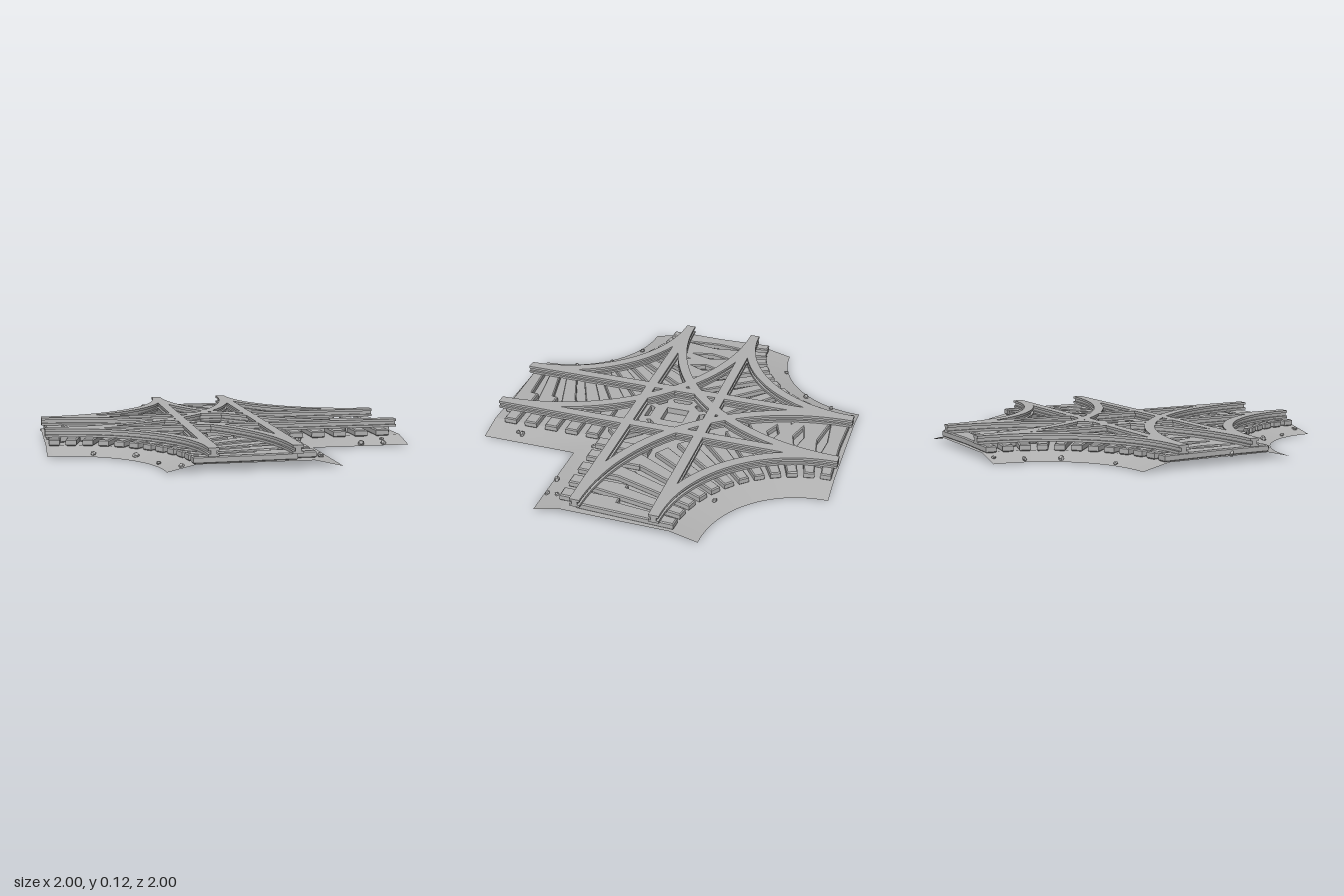
import * as THREE from 'three';
import { toCreasedNormals } from 'three/addons/utils/BufferGeometryUtils.js';

const GAUGE = 0.215, BED = 0.035, TIE_TOP = 0.07;
// Corners with curved track: sign of the corner and start angle of its sweep
const CURVES = [[-1, -1, 0], [1, -1, 1.5 * Math.PI], [-1, 1, 0.5 * Math.PI]];

// I-shaped rail section, counter-clockwise, offset sideways by r
const railProfile = (r) => [
  [-0.028, 0.07], [0.028, 0.07], [0.028, 0.083], [0.015, 0.083], [0.015, 0.101], [0.028, 0.101],
  [0.028, 0.115], [-0.028, 0.115], [-0.028, 0.101], [-0.015, 0.101], [-0.015, 0.083],
  [-0.028, 0.083], [-0.028, 0.07],
].map(([x, y]) => new THREE.Vector2(x + r, y));

// Flat slab from [x, z] points between two heights
function slab(points, y0, y1, bevel = 0, holes = []) {
  const toV = ([x, z]) => new THREE.Vector2(x, -z);
  const shape = new THREE.Shape(points.map(toV));
  holes.forEach((h) => shape.holes.push(new THREE.Path(h.map(toV))));
  const geo = new THREE.ExtrudeGeometry(shape, {
    depth: y1 - y0 - 2 * bevel, bevelEnabled: bevel > 0,
    bevelSize: bevel, bevelOffset: -bevel, bevelThickness: bevel, bevelSegments: 1,
  });
  return geo.rotateX(-Math.PI / 2).translate(0, y0 + bevel, 0);
}

// Edge of the bed at one corner, moved inward by inset
function cornerEdge(sx, sz, inset) {
  const e = 0.45 - inset;
  if (sx > 0 && sz > 0) return [[1, e], [e, e], [e, 1]];
  const pts = [], r = 0.55 + inset;
  for (let i = 0; i <= 32; i++) {
    const a = (i / 32) * Math.PI / 2;
    pts.push([sx * (1 - r * Math.sin(a)), sz * (1 - r * Math.cos(a))]);
  }
  return pts;
}

export function createModel() {
  const group = new THREE.Group();
  const grey = new THREE.MeshStandardMaterial({ color: 0xb2b2b2, side: THREE.DoubleSide });
  grey.name = 'grey';
  const add = (name, geo) => {
    const mesh = new THREE.Mesh(geo, grey);
    mesh.name = name;
    group.add(mesh);
    return mesh;
  };

  // Ballast bed: flat top with a sloping shoulder at each corner
  const outline = [];
  for (const [sx, sz] of [[1, 1], [-1, 1], [-1, -1], [1, -1]]) {
    const inner = cornerEdge(sx, sz, 0.15), outer = cornerEdge(sx, sz, 0);
    outline.push(...(sx * sz > 0 ? inner : [...inner].reverse()));
    const pos = [];
    for (let i = 0; i < inner.length - 1; i++) {
      const a = [inner[i][0], BED, inner[i][1]], b = [inner[i + 1][0], BED, inner[i + 1][1]];
      const c = [outer[i + 1][0], 0, outer[i + 1][1]], d = [outer[i][0], 0, outer[i][1]];
      const quad = sx * sz > 0 ? [a, b, c, a, c, d] : [a, c, b, a, d, c];
      pos.push(...quad.flat());
    }
    const geo = new THREE.BufferGeometry();
    geo.setAttribute('position', new THREE.Float32BufferAttribute(pos, 3));
    // Keep every shoulder facing upward
    geo.computeVertexNormals();
    if (geo.attributes.normal.getY(0) < 0) {
      const p = geo.attributes.position.array;
      for (let t = 0; t < p.length; t += 9) {
        for (let k = 0; k < 3; k++) [p[t + 3 + k], p[t + 6 + k]] = [p[t + 6 + k], p[t + 3 + k]];
      }
      geo.computeVertexNormals();
    }
    add('ballastShoulder', toCreasedNormals(geo, 0.5));
  }
  const bedShape = new THREE.Shape(outline.map(([x, z]) => new THREE.Vector2(x, -z)));
  add('ballastBed', new THREE.ShapeGeometry(bedShape).rotateX(-Math.PI / 2).translate(0, BED, 0));

  // Straight rails, two along each axis
  for (const s of [-1, 1]) {
    for (const turn of [0, Math.PI / 2]) {
      const geo = new THREE.ExtrudeGeometry(new THREE.Shape(railProfile(s * GAUGE).slice(0, -1)),
        { depth: 2, bevelEnabled: false });
      add('straightRail', geo.translate(0, 0, -1).rotateY(turn));
    }
  }

  // Curved tracks: two rails and twelve tapering radial sleepers each
  const N = 12, step = Math.PI / 2 / N;
  for (const [sx, sz, start] of CURVES) {
    for (const r of [1 - GAUGE, 1 + GAUGE]) {
      const geo = new THREE.LatheGeometry(railProfile(r), 40, start, Math.PI / 2);
      add('curvedRail', toCreasedNormals(geo, 0.5)).position.set(sx, 0, sz);
    }
    for (let i = 0; i < N; i++) {
      const a = start + (i + 0.5) * step;
      const r0 = 0.685, r1 = i > 3 && i < 8 ? 1.15 : 1.22;
      const w0 = 0.029, w1 = 0.29 * step * r1;
      const geo = slab([[-w0, r0], [w0, r0], [w1, r1], [-w1, r1]], BED - 0.002, TIE_TOP, 0.006);
      const tie = add('curveSleeper', geo);
      tie.rotation.y = a;
      tie.position.set(sx, 0, sz);
    }
  }

  // Straight sleepers beside the square corner
  for (let i = 0; i < 5; i++) {
    const c = 0.385 + i * 0.126, w = 0.037;
    const geo = slab([[c - w, 0.02], [c + w, 0.02], [c + w, 0.33], [c - w, 0.33]],
      BED - 0.002, TIE_TOP, 0.006);
    add('straightSleeper', geo);
    const side = slab([[0.02, c - w], [0.33, c - w], [0.33, c + w], [0.02, c + w]],
      BED - 0.002, TIE_TOP, 0.006);
    add('straightSleeper', side);
  }
  add('cornerSleeper', slab([[0.1, 0.18], [0.18, 0.1], [0.32, 0.24], [0.24, 0.32]],
    BED - 0.002, TIE_TOP, 0.006));

  // Central octagonal plate with a square well and slots round it
  const turnPts = (pts, k) => pts.map(([x, z]) => {
    for (let i = 0; i < k; i++) [x, z] = [-z, x];
    return [x, z];
  });
  const q = 0.065, holes = [[[-q, -q], [q, -q], [q, q], [-q, q]]];
  for (let k = 0; k < 4; k++) {
    holes.push(turnPts([[-0.06, -0.165], [0.06, -0.165], [0.045, -0.135], [-0.045, -0.135]], k));
    holes.push(turnPts([[0.09, -0.145], [0.145, -0.09], [0.12, -0.085], [0.085, -0.12]], k));
  }
  const o = 0.19, n = 0.1;
  add('centrePlate', slab([[-n, -o], [n, -o], [o, -n], [o, n], [n, o], [-n, o], [-o, n], [-o, -n]],
    BED - 0.002, TIE_TOP, 0, holes));

  // Loose stones on the bed
  const stones = [[-0.38, -0.97], [-0.45, -0.83], [-0.53, -0.66], [-0.78, -0.48], [0.67, -0.44],
    [-0.97, 0.09], [-0.1, 0.35], [0.39, 0.35], [0.73, 0.43], [0.87, 0.37], [0.86, 0.43],
    [0.39, 0.79], [0.38, 0.82], [-0.76, 0.47], [-0.55, 0.6], [-0.46, 0.8], [-0.37, 0.96]];
  stones.forEach(([x, z], i) => {
    const ax = Math.abs(x), az = Math.abs(z);
    const inset = x > 0 && z > 0 ? 0.45 - Math.min(x, z) : Math.hypot(1 - ax, 1 - az) - 0.55;
    const stone = add('stone', new THREE.DodecahedronGeometry(0.013 + 0.003 * (i % 3), 0));
    stone.position.set(x, 0.006 + BED * Math.min(1, Math.max(0.2, inset / 0.15)), z);
    stone.rotation.set(i, i * 2, 0);
    stone.scale.y = 0.7;
  });
  return group;
}
